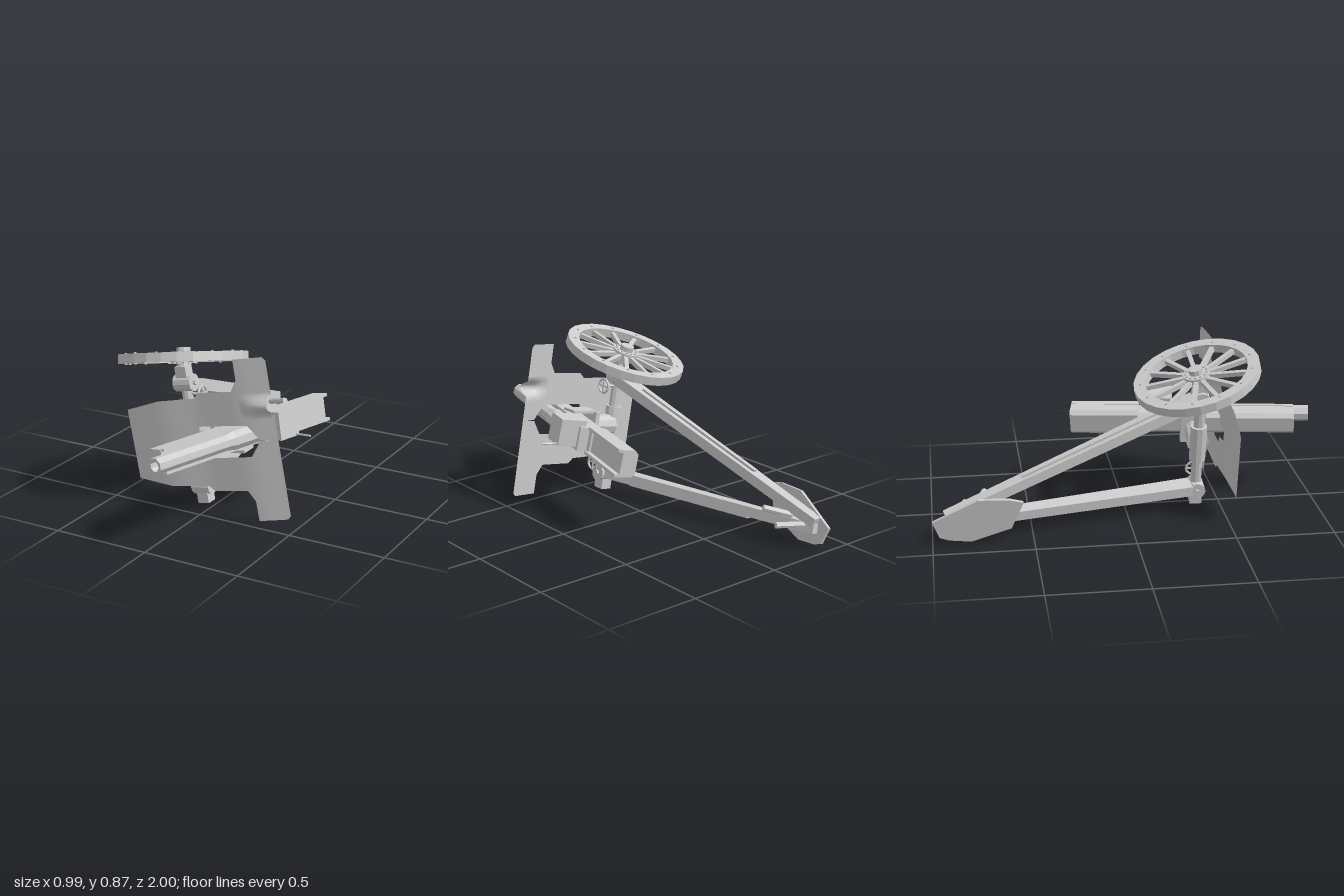
import * as THREE from 'three';

const mat = new THREE.MeshStandardMaterial({ color: 0xcccccc, flatShading: true });
const thin = new THREE.MeshStandardMaterial({ color: 0xcccccc, side: THREE.DoubleSide });
const flatThin = new THREE.MeshStandardMaterial({ color: 0xcccccc, flatShading: true, side: THREE.DoubleSide });

function add(parent, name, geo, pos = [0, 0, 0], rot = [0, 0, 0], m = mat) {
  const mesh = new THREE.Mesh(geo, m);
  mesh.name = name;
  mesh.position.set(...pos);
  mesh.rotation.set(...rot);
  parent.add(mesh);
  return mesh;
}
const box = (w, h, d) => new THREE.BoxGeometry(w, h, d);
const cyl = (r, h, n = 12, r2 = r) => new THREE.CylinderGeometry(r2, r, h, n);

// Tapered rectangular beam from a to b
function beam(parent, name, a, b, w, h, w2 = w, h2 = h) {
  const A = new THREE.Vector3(...a), B = new THREE.Vector3(...b);
  const g = box(1, 1, A.distanceTo(B)), p = g.attributes.position;
  for (let i = 0; i < p.count; i++) {
    const end = p.getZ(i) > 0;
    p.setXY(i, p.getX(i) * (end ? w2 : w), p.getY(i) * (end ? h2 : h));
  }
  g.computeVertexNormals();
  const mesh = new THREE.Mesh(g, mat);
  mesh.name = name;
  mesh.position.copy(A).lerp(B, 0.5);
  mesh.lookAt(B);
  parent.add(mesh);
}

// Round rod from a to b
function rod(parent, name, a, b, r, n = 8) {
  const A = new THREE.Vector3(...a), B = new THREE.Vector3(...b);
  const mesh = add(parent, name, cyl(r, A.distanceTo(B), n));
  mesh.position.copy(A).lerp(B, 0.5);
  mesh.quaternion.setFromUnitVectors(new THREE.Vector3(0, 1, 0), B.sub(A).normalize());
}

// Bent shield: rows of [height, half width, half width of the gun slot]
function shieldGeometry() {
  const rows = [[-0.297, 0.179, 0], [-0.106, 0.219, 0], [0.02, 0.222, 0], [0.021, 0.222, 0.03],
    [0.088, 0.223, 0.045], [0.092, 0.228, 0.08], [0.118, 0.25, 0.08], [0.297, 0.25, 0.08],
    [0.331, 0.304, 0.079], [0.332, 0.406, 0.079], [0.35, 0.406, 0.077], [0.404, 0.406, 0.003],
    [0.475, 0.406, 0], [0.492, 0.39, 0]];
  const depth = [[-0.3, 0.53], [-0.1, 0.53], [0.1, 0.505], [0.33, 0.49], [0.5, 0.455]];
  const curve = new THREE.CatmullRomCurve3(depth.map(([y, z]) => new THREE.Vector3(0, y, z)));
  const bend = curve.getPoints(80);
  const zAt = (x, y) => {
    let i = 0;
    while (i < 79 && bend[i + 1].y < y) i++;
    const t = (y - bend[i].y) / (bend[i + 1].y - bend[i].y);
    const dent = Math.max(0, (y - 0.33) / 0.16) * Math.max(0, 1 - ((x + 0.172) / 0.04) ** 2);
    return THREE.MathUtils.lerp(bend[i].z, bend[i + 1].z, t) + 0.06 * dent;
  };
  const pos = [], index = [], cols = 24, steps = 4;
  for (const s of [-1, 1]) {
    const base = pos.length / 3, n = (rows.length - 1) * steps;
    for (let r = 0; r <= n; r++) {
      const k = Math.min(Math.floor(r / steps), rows.length - 2), t = r / steps - k;
      const [y, w, h] = rows[k].map((v, j) => v + (rows[k + 1][j] - v) * t);
      for (let c = 0; c <= cols; c++) {
        const x = s * (h + (w - h) * c / cols);
        pos.push(x, y, zAt(x, y));
        if (r < n && c < cols) {
          const a = base + r * (cols + 1) + c, b = a + cols + 1;
          if (s > 0) index.push(a, a + 1, b, b, a + 1, b + 1);
          else index.push(a, b, a + 1, b, b + 1, a + 1);
        }
      }
    }
  }
  const g = new THREE.BufferGeometry();
  g.setAttribute('position', new THREE.Float32BufferAttribute(pos, 3));
  g.setIndex(index);
  g.computeVertexNormals();
  return g;
}

// Spoked wheel with its axis along x
function makeWheel() {
  const wheel = new THREE.Group(), N = 13;
  wheel.name = 'wheel';
  const ring = new THREE.Shape().absarc(0, 0, 0.322, 0, Math.PI * 2);
  ring.holes.push(new THREE.Path().absarc(0, 0, 0.262, 0, Math.PI * 2, true));
  const rim = new THREE.ExtrudeGeometry(ring, { depth: 0.046, bevelEnabled: false, curveSegments: N });
  add(wheel, 'rim', rim.translate(0, 0, -0.023).rotateY(Math.PI / 2));
  for (let i = 0; i < N; i++) {
    const sector = new THREE.Group();
    sector.name = 'spoke';
    sector.rotation.x = i / N * Math.PI * 2;
    add(sector, 'spokeBar', box(0.024, 0.22, 0.022), [0, 0.165, 0]);
    for (const s of [-1, 1]) {
      add(sector, 'rimBolt', cyl(0.007, 0.008, 6), [s * 0.025, 0.285, 0], [0, 0, Math.PI / 2]);
      add(sector, 'hubBolt', cyl(0.006, 0.008, 6), [s * 0.026, 0.055, 0], [0, 0, Math.PI / 2]);
    }
    wheel.add(sector);
  }
  add(wheel, 'hubPlate', cyl(0.07, 0.046, 13), [0, 0, 0], [0, 0, Math.PI / 2]);
  add(wheel, 'hubCap', cyl(0.036, 0.1, 10), [0, 0, 0], [0, 0, Math.PI / 2]);
  return wheel;
}

// Barrel, breech and cradle, pointing along +z from the pivot
function makeGun() {
  const gun = new THREE.Group();
  gun.name = 'gun';
  const profile = [[0, -0.24], [0.05, -0.24], [0.05, 0.1], [0.041, 0.14], [0.041, 0.605], [0.027, 0.605], [0.027, 0.4], [0, 0.4]]
    .map(([r, z]) => new THREE.Vector2(r, z));
  add(gun, 'barrel', new THREE.LatheGeometry(profile, 8).rotateY(Math.PI / 8).rotateX(Math.PI / 2), [0, 0, 0], [0, 0, 0], flatThin);
  // Chamfered cradle lengths
  const trough = (w, lo, hi, len) => {
    const c = 0.02, s = new THREE.Shape([[-w + c, lo], [w - c, lo], [w, lo + c], [w, hi], [-w, hi], [-w, lo + c]]
      .map((p) => new THREE.Vector2(...p)));
    return new THREE.ExtrudeGeometry(s, { depth: len, bevelEnabled: false });
  };
  add(gun, 'frontCradle', trough(0.058, -0.125, -0.028, 0.83), [0, 0, -0.3]);
  add(gun, 'rearCradle', trough(0.07, -0.125, -0.04, 0.36), [0, 0, -0.645]);
  for (const s of [-1, 1]) {
    add(gun, 'cradleRail', box(0.016, 0.03, 0.36), [s * 0.064, -0.028, -0.465]);
    add(gun, 'frontRail', box(0.012, 0.02, 0.75), [s * 0.055, -0.022, 0.15]);
  }
  add(gun, 'breechBase', box(0.125, 0.07, 0.16), [0, -0.01, -0.19]);
  add(gun, 'breechBlock', box(0.14, 0.14, 0.13), [-0.022, 0.055, -0.185]);
  return gun;
}

export function createModel() {
  const root = new THREE.Group();
  // Upright carriage, tipped onto its left side
  const carriage = new THREE.Group();
  carriage.name = 'overturnedCarriage';
  carriage.rotation.z = -1.3837;
  carriage.position.set(-0.07, 0.369, 0);
  root.add(carriage);

  add(carriage, 'shield', shieldGeometry(), [0, 0, 0], [0, 0, 0], thin);

  const gun = makeGun();
  gun.rotation.set(0.226, -0.074, 0, 'YXZ');
  gun.position.set(0, 0.275, 0.4);
  carriage.add(gun);
  rod(carriage, 'breechHandle', [0.052, 0.42, 0.2], [0.06, 0.533, 0.22], 0.005, 6);

  const wheel = makeWheel();
  wheel.position.set(-0.389, -0.038, 0.345);
  wheel.rotation.y = -0.264;
  carriage.add(wheel);

  // Axle and saddle
  const ay = -0.035, az = 0.37, side = [0, 0, Math.PI / 2];
  add(carriage, 'axle', cyl(0.028, 0.52, 10), [0, ay, az], side);
  add(carriage, 'axleSleeve', cyl(0.043, 0.2, 10), [0, ay, az], side);
  add(carriage, 'saddle', cyl(0.06, 0.15, 10, 0.045), [0, 0.05, az]);
  add(carriage, 'saddlePlate', box(0.16, 0.025, 0.13), [0, 0.12, az]);
  for (const s of [-1, 1]) {
    add(carriage, 'saddleCheek', box(0.014, 0.15, 0.09), [s * 0.078, 0.19, az]);
    add(carriage, 'trailHinge', cyl(0.045, 0.1, 12), [s * 0.268, ay, az]);
    add(carriage, 'hingePin', cyl(0.014, 0.125, 8), [s * 0.268, ay, az]);
    add(carriage, 'axleStub', box(0.09, 0.062, 0.062), [s * 0.31, ay, az]);
    // Handwheels on the axle
    const ring = new THREE.Group();
    ring.name = 'handwheel';
    ring.position.set(s * 0.21, 0.055, az);
    add(ring, 'handwheelRing', new THREE.TorusGeometry(0.038, 0.006, 6, 12), [0, 0, 0], [Math.PI / 2, 0, 0]);
    add(ring, 'handwheelBar', box(0.074, 0.008, 0.008));
    add(ring, 'handwheelBar', box(0.008, 0.008, 0.074));
    add(ring, 'handwheelShaft', cyl(0.008, 0.09, 6), [0, -0.045, 0]);
    carriage.add(ring);
  }

  // Two trails meeting at the spade, each with an outer strip
  const trails = [[[0.262, -0.045, 0.34], [0.215, -0.325, -0.93], 1], [[-0.25, -0.035, 0.34], [0.185, -0.32, -0.93], -1]];
  for (const [a, b, s] of trails) {
    beam(carriage, 'trail', a, b, 0.055, 0.095, 0.05, 0.06);
    const at = (t) => a.map((v, i) => v + (b[i] - v) * t + (i === 0 ? s * 0.033 : 0));
    beam(carriage, 'trailStrip', at(0.12), at(0.7), 0.014, 0.026);
  }

  // Spade plate and lifting handles
  const outline = [[0.085, -0.55], [0.068, -0.62], [0.068, -0.77], [0.195, -1], [0.285, -0.965], [0.3, -0.92], [0.31, -0.81], [0.235, -0.61]];
  const plate = new THREE.ExtrudeGeometry(new THREE.Shape(outline.map(([x, z]) => new THREE.Vector2(x, -z))), { depth: 0.016, bevelEnabled: false });
  plate.rotateX(-Math.PI / 2).translate(0, 0, 0.8);
  add(carriage, 'spade', plate, [0, -0.362, -0.8], [0.06, 0, 0]);
  rod(carriage, 'liftingHandle', [0.206, -0.294, -0.88], [0.217, -0.143, -0.83], 0.016);
  rod(carriage, 'liftingHandle', [0.18, -0.28, -0.8], [0.156, -0.142, -0.73], 0.016);
  return root;
}
